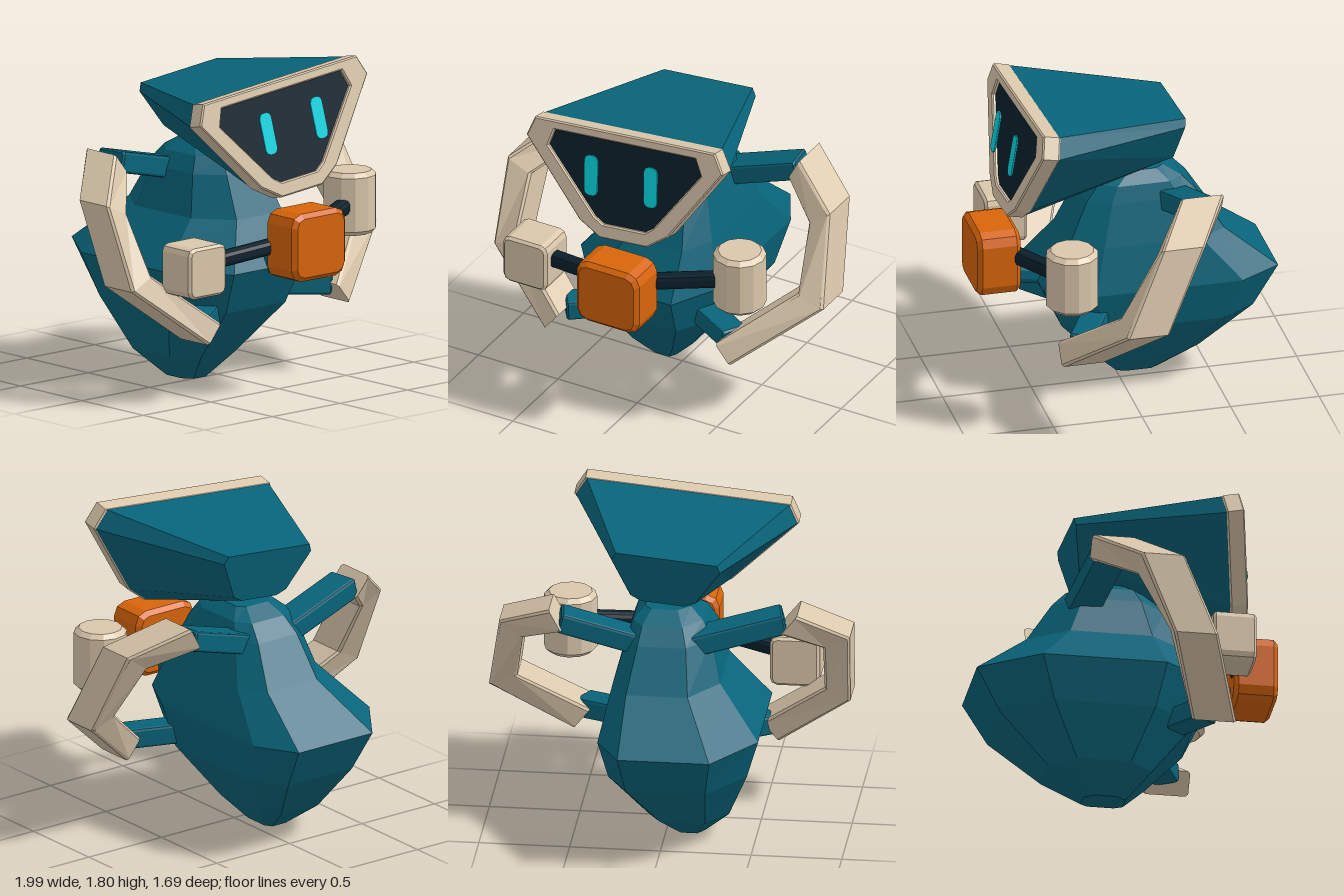
import * as THREE from 'three';

const mat = (name, color) => {
  const m = new THREE.MeshStandardMaterial({ color });
  m.name = name;
  return m;
};

// Faceted skin through matching rings of [x, y, z], closed at both ends
function loft(rings) {
  const pos = [];
  const tri = (...p) => p.forEach(v => pos.push(...v));
  const n = rings[0].length;
  for (let i = 0; i < rings.length - 1; i++) {
    for (let j = 0; j < n; j++) {
      const k = (j + 1) % n;
      const [a, b, c, d] = [rings[i][j], rings[i][k], rings[i + 1][k], rings[i + 1][j]];
      tri(a, b, c);
      tri(a, c, d);
    }
  }
  const first = rings[0], last = rings[rings.length - 1];
  for (let j = 1; j < n - 1; j++) {
    tri(first[0], first[j + 1], first[j]);
    tri(last[0], last[j], last[j + 1]);
  }
  const g = new THREE.BufferGeometry();
  g.setAttribute('position', new THREE.Float32BufferAttribute(pos, 3));
  g.computeVertexNormals();
  return g;
}

const shapeOf = pts => new THREE.Shape(pts.map(p => new THREE.Vector2(p[0], p[1])));

// Extrusion of exact depth d centred on z, with a one-step bevel b inside the outline
function slab(shape, d, b) {
  const g = new THREE.ExtrudeGeometry(shape, {
    depth: d - 2 * b, bevelEnabled: true, bevelThickness: b, bevelSize: b, bevelOffset: -b, bevelSegments: 1
  });
  return g.translate(0, 0, -d / 2 + b);
}

// Box with cut corners c and bevelled rims b
function cutBox(w, h, d, c, b) {
  const x = w / 2, y = h / 2;
  return slab(shapeOf([
    [x, c - y], [x, y - c], [x - c * 0.3, y - c * 0.3], [x - c, y], [c - x, y], [c * 0.3 - x, y - c * 0.3],
    [-x, y - c], [-x, c - y], [c * 0.3 - x, c * 0.3 - y], [c - x, -y], [x - c, -y], [x - c * 0.3, c * 0.3 - y]
  ]), d, b);
}

// Bar along a bent path: mitred in the front plane, with a constant depth along z
function bentBar(path, half, depth, bevel) {
  const p = path.map(q => new THREE.Vector2(q[0], q[1]));
  return loft(path.map(([x, y, z], i) => {
    const a = Math.max(i, 1), e = Math.min(i + 1, p.length - 1);
    const d0 = p[a].clone().sub(p[a - 1]).normalize();
    const d1 = p[e].clone().sub(p[e - 1]).normalize();
    const m = d0.clone().add(d1).normalize();
    const s = half / m.dot(d0), t = depth / 2;
    const section = [
      [s, bevel - t], [s, t - bevel], [s - bevel, t], [bevel - s, t],
      [-s, t - bevel], [-s, bevel - t], [bevel - s, -t], [s - bevel, -t]
    ];
    return section.map(([u, w]) => [x - m.y * u, y + m.x * u, z + w]);
  }));
}

// Symmetric eight-point outline from its right half, counter-clockwise from the bottom
const mirrored = half => [...half, ...half.map(([x, y]) => [-x, y]).reverse()];

export function createModel() {
  const teal = mat('teal shell', 0x08647a);
  const beige = mat('warm beige', 0xdbc8ac);
  const orange = mat('orange', 0xd8650a);
  const dark = mat('dark navy', 0x0b202d);
  const cyan = mat('cyan glow', 0x06d8e4);

  const model = new THREE.Group();
  model.name = 'robot';
  const add = (name, geo, material, parent = model) => {
    const m = new THREE.Mesh(geo, material);
    m.name = name;
    parent.add(m);
    return m;
  };
  const beam = (name, a, b, w, t, material, cut = 0.015) => {
    const from = new THREE.Vector3(...a), to = new THREE.Vector3(...b);
    const m = add(name, cutBox(w, t, from.distanceTo(to), cut, 0.01), material);
    m.position.copy(from).add(to).multiplyScalar(0.5);
    m.lookAt(to);
    return m;
  };

  // Body: uneven octagonal rings as [y, left x, right x, back z, front z]
  const bodyRings = [
    [0, -0.215, -0.06, -0.235, 0],
    [0.15, -0.355, 0.08, -0.44, 0.135],
    [0.44, -0.47, 0.285, -0.71, 0.37],
    [0.68, -0.54, 0.334, -0.845, 0.48],
    [0.94, -0.31, 0.275, -0.545, 0.33],
    [1.17, -0.25, 0.21, -0.4, 0.22],
    [1.26, -0.2, 0.18, -0.32, 0.15],
    [1.32, -0.13, 0.12, -0.22, 0.03]
  ].map(([y, x0, x1, z0, z1]) => {
    const w = x1 - x0, d = z1 - z0;
    const xl = x0 + w * 0.265, xr = x1 - w * 0.155;
    return [
      [xl, y, z1], [xr, y, z1], [x1, y, z1 - d * 0.2], [x1, y, z0 + d * 0.175],
      [xr, y, z0], [xl, y, z0], [x0, y, z0 + d * 0.25], [x0, y, z1 - d * 0.23]
    ];
  });
  add('body', loft(bodyRings), teal);

  // Head: tilted group whose z = 0 is the front of the face frame
  const head = new THREE.Group();
  head.name = 'head';
  head.rotation.set(-0.193, 0, 0.094, 'ZYX');
  head.position.set(-0.016, 1.452, 0.621);
  model.add(head);
  const outer = mirrored([[0.15, -0.322], [0.28, -0.24], [0.622, 0.19], [0.568, 0.304]]);
  const inner = mirrored([[0.13, -0.24], [0.185, -0.205], [0.482, 0.155], [0.445, 0.25]]);
  const back = mirrored([[0.12, 0.08], [0.18, 0.11], [0.3, 0.33], [0.28, 0.375]]);
  add('headShell', loft([
    back.map(([x, y]) => [x + 0.025, y, -0.87]),
    outer.map(([x, y]) => [x * 0.99, y * 0.99, -0.09])
  ]), teal, head);
  const frameShape = shapeOf(outer);
  frameShape.holes.push(shapeOf(inner));
  add('faceFrame', slab(frameShape, 0.1, 0.008), beige, head).position.z = -0.05;
  add('screen', new THREE.ShapeGeometry(shapeOf(inner.map(([x, y]) => [x * 1.02, y * 1.02]))), dark, head)
    .position.z = -0.02;
  for (const side of [-1, 1]) {
    add(side < 0 ? 'rightEye' : 'leftEye', cutBox(0.086, 0.235, 0.009, 0.03, 0.001), cyan, head)
      .position.set(side * 0.188, 0.045, 0.034);
  }

  // Side handles: bent bars sweeping forward as they go down
  add('leftHandle', bentBar(
    [[0.59, 1.31, -0.31], [0.853, 1.172, -0.13], [0.921, 0.775, 0.088], [0.516, 0.45, 0.345]],
    0.072, 0.245, 0.014), beige);
  add('rightHandle', bentBar(
    [[-0.68, 1.275, -0.15], [-0.917, 1.085, 0.08], [-0.902, 0.7, 0.265], [-0.515, 0.39, 0.43]],
    0.072, 0.245, 0.014), beige);

  // Struts joining the handles to the body
  beam('leftUpperStrut', [0.58, 1.28, -0.31], [0.1, 1.13, -0.25], 0.17, 0.115, teal);
  beam('rightUpperStrut', [-0.645, 1.27, -0.16], [-0.12, 1.14, -0.25], 0.18, 0.12, teal);
  beam('leftLowerStrut', [0.52, 0.495, 0.34], [0.14, 0.52, 0.14], 0.15, 0.115, teal);
  beam('rightLowerStrut', [-0.51, 0.42, 0.4], [-0.26, 0.43, 0.22], 0.15, 0.115, teal);
  beam('frontStrut', [0, 0.74, 0.64], [0, 0.69, 0.36], 0.12, 0.13, teal, 0.04);

  // Front controller: central block, two arms, a cube and a drum
  add('centerBlock', cutBox(0.395, 0.38, 0.245, 0.07, 0.025), orange).position.set(0, 0.86, 0.725);
  beam('rightArm', [-0.56, 0.79, 0.52], [-0.05, 0.86, 0.65], 0.085, 0.085, dark, 0.025);
  beam('leftArm', [0.56, 0.955, 0.46], [0.05, 0.88, 0.65], 0.085, 0.085, dark, 0.025);
  add('rightCube', cutBox(0.275, 0.285, 0.24, 0.04, 0.015), beige).position.set(-0.637, 0.77, 0.513);
  const drum = new THREE.LatheGeometry(
    [[0, -0.175], [0.12, -0.175], [0.147, -0.15], [0.147, 0.15], [0.12, 0.175], [0, 0.175]]
      .map(p => new THREE.Vector2(...p)), 12).toNonIndexed();
  drum.computeVertexNormals();
  add('leftDrum', drum, beige).position.set(0.6, 0.955, 0.42);

  return model;
}
